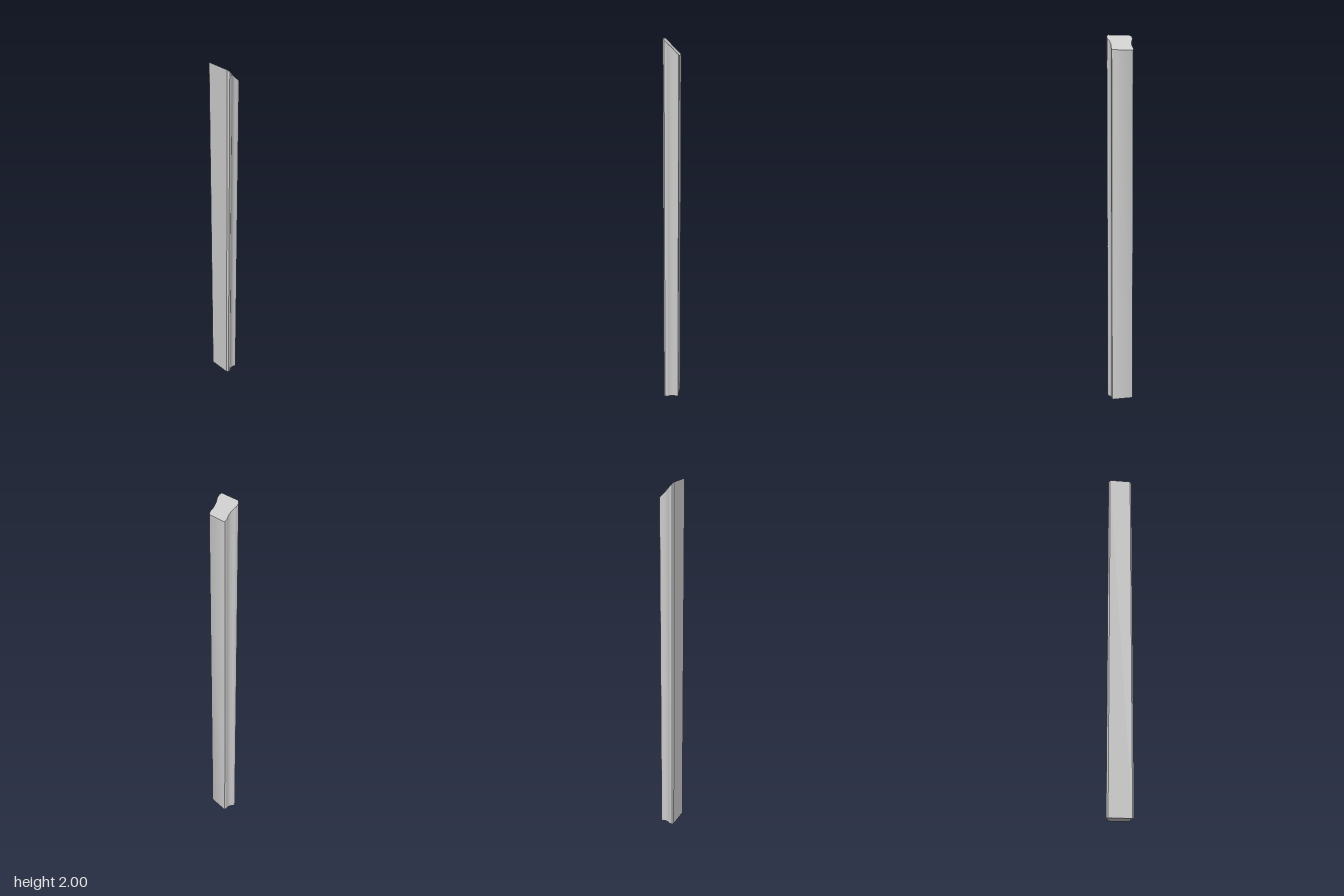
import * as THREE from 'three';
import { toCreasedNormals } from 'three/addons/utils/BufferGeometryUtils.js';

export function createModel() {
  const group = new THREE.Group();
  group.name = 'mouldedPost';

  // One moulded edge, as [x, half width]; mirrored for the other edge
  const edge = [
    [0.042, 0.053], [0.039, 0.058], [0.031, 0.0605], [0.022, 0.058],
    [0.012, 0.0555], [0.002, 0.0575], [-0.009, 0.061], [-0.015, 0.0655],
    [-0.021, 0.069], [-0.034, 0.069], [-0.039, 0.064], [-0.042, 0.06],
  ];
  const mirrored = edge.map(([x, w]) => [x, -w]).reverse();
  const shape = new THREE.Shape([...edge, ...mirrored].map(([x, w]) => new THREE.Vector2(x, w)));

  // Upright extrusion
  const geometry = new THREE.ExtrudeGeometry(shape, { depth: 1, bevelEnabled: false });
  geometry.rotateX(-Math.PI / 2);

  // Mitre the top end at 45 degrees, highest at -x
  const pos = geometry.attributes.position;
  for (let i = 0; i < pos.count; i++) {
    pos.setY(i, pos.getY(i) > 0.5 ? 1.958 - pos.getX(i) : 0);
  }

  const post = new THREE.Mesh(
    toCreasedNormals(geometry, 0.6),
    new THREE.MeshStandardMaterial({ color: 0xcccccc })
  );
  post.name = 'post';
  group.add(post);
  return group;
}
